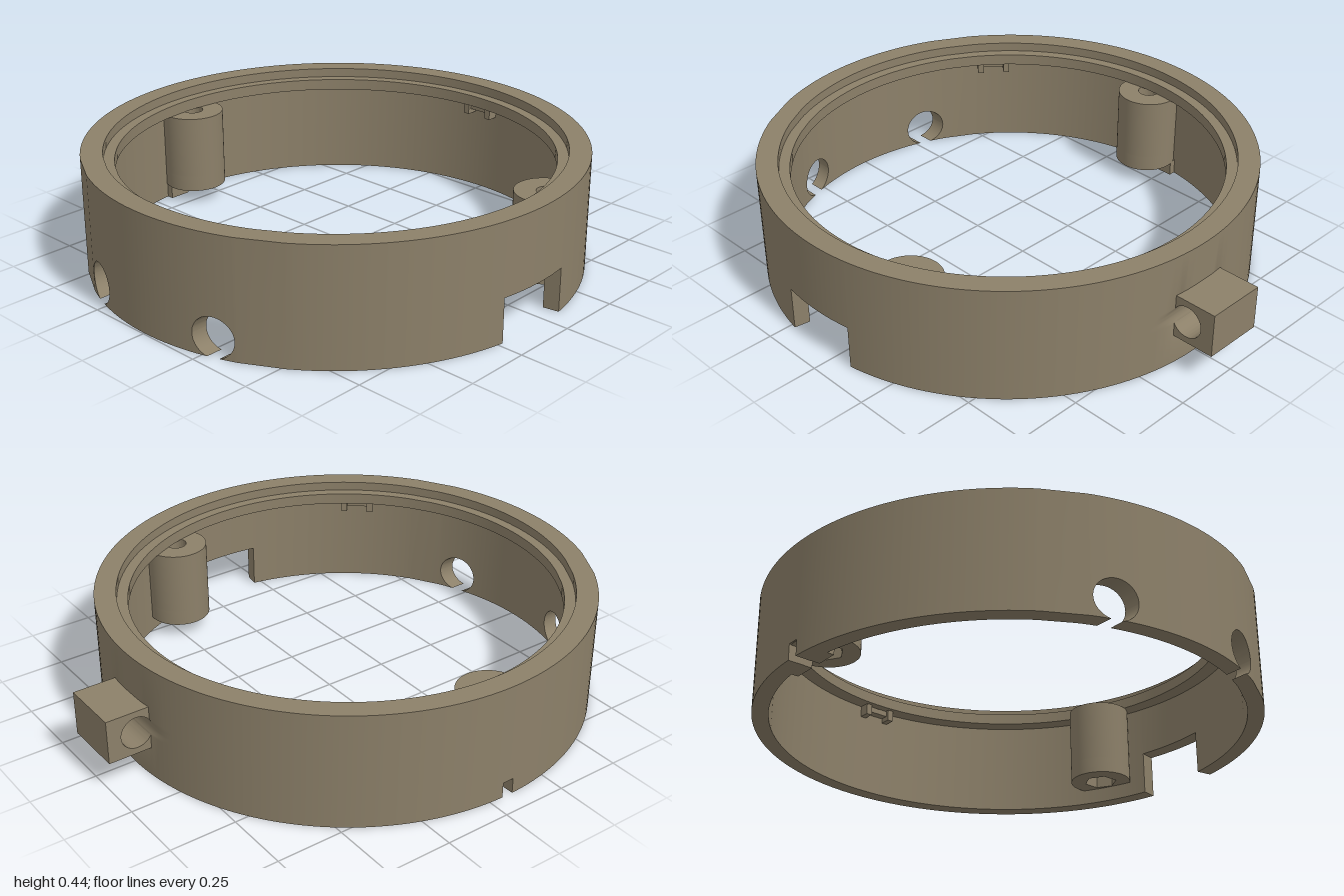
import * as THREE from 'three';
import { toCreasedNormals } from 'three/addons/utils/BufferGeometryUtils.js';

const R = 0.92, WALL = 0.86, LEDGE = 0.80, CZ = 0.075, H = 0.44;
const PORT = { x: 0.29, y: 0.072, r: 0.075 };
const EYE = { y: 0.2, z: -0.888, r: 0.06 };
const rad = THREE.MathUtils.degToRad;

const body = new THREE.MeshStandardMaterial({ color: 0x8c8069 });
body.name = 'khaki plastic';

// Point on the ring. Near the front the columns run parallel to z, so the ports are straight bores.
// Points inside the lug's bore are pushed back to its surface.
function ringPoint(t, r, y) {
  const a = Math.abs(t) < 0.46 ? Math.asin((R / r) * Math.sin(t)) : t;
  let z = r * Math.cos(a) + CZ;
  const d = EYE.r ** 2 - (y - EYE.y) ** 2;
  if (z < -0.7 && d > 0) z = Math.max(z, EYE.z + Math.sqrt(d));
  return [r * Math.sin(a), y, z];
}

// Sweep a closed (radius, y) profile along columns [angle, value]
function sweep(cols, profile, capped) {
  const loops = cols.map(([t, v]) => profile(v).map(([r, y]) => ringPoint(t, r, y)));
  const pos = [], n = loops[0].length;
  const tri = (a, b, c) => {
    const [A, B, C] = [a, b, c].map(p => new THREE.Vector3(...p));
    if (B.sub(A).cross(C.sub(A)).length() > 1e-9) pos.push(...a, ...b, ...c);
  };
  for (let i = 0; i < loops.length - 1; i++) {
    for (let j = 0; j < n; j++) {
      const k = (j + 1) % n, p = loops[i], q = loops[i + 1];
      tri(p[j], q[j], q[k]);
      tri(p[j], q[k], p[k]);
    }
  }
  if (capped) {
    const s = loops[0], e = loops[loops.length - 1];
    for (let j = 1; j < n - 1; j++) {
      tri(s[0], s[j], s[j + 1]);
      tri(e[0], e[j + 1], e[j]);
    }
  }
  const g = new THREE.BufferGeometry();
  g.setAttribute('position', new THREE.Float32BufferAttribute(pos, 3));
  return toCreasedNormals(g, 0.5);
}

function add(parent, name, geometry) {
  const m = new THREE.Mesh(geometry, body);
  m.name = name;
  parent.add(m);
  return m;
}

const portAngle = x => Math.asin(x / R);
const portHalf = x => Math.sqrt(Math.max(0, PORT.r ** 2 - x * x));

// Columns of the ring, each with the height of its lower edge
function ringColumns() {
  const cutouts = [];
  for (const s of [-1, 1]) {
    const c = [];
    for (let i = 0; i <= 24; i++) {
      const dx = -PORT.r * Math.cos((Math.PI * i) / 24);
      c.push([portAngle(s * PORT.x + dx), PORT.y + portHalf(dx)]);
    }
    cutouts.push(c);
  }
  const slot = (centre, half, h) => {
    const c = [], a = Math.asin(half / R);
    for (let i = 0; i <= 8; i++) c.push([centre + a * (i / 4 - 1), h]);
    cutouts.push(c);
  };
  slot(Math.PI / 2, 0.155, 0.166);
  slot(-Math.PI / 2, 0.022, 0.06);

  const cols = [];
  for (let d = -180; d <= 180; d += 2) {
    const t = rad(d), a = Math.abs(t);
    if (a > 0.45 && a < 0.56) continue;
    if (!cutouts.some(c => t > c[0][0] - 0.005 && t < c[c.length - 1][0] + 0.005)) cols.push([t, 0]);
  }
  for (const c of cutouts) cols.push([c[0][0], 0], ...c, [c[c.length - 1][0], 0]);
  return cols.sort((a, b) => a[0] - b[0]);
}

function ringProfile(b) {
  const p = [[R, b]];
  for (let i = 0; i < 10; i++) p.push([R, 0.168 + i * 0.008]);
  p.push([R, H], [0.84, H], [0.84, 0.405], [LEDGE, 0.405], [LEDGE, 0.362], [WALL, 0.362], [WALL, b]);
  return p;
}

// Upright plate with a hole
function bored(shape, hole, y0, y1) {
  shape.holes.push(hole);
  const g = new THREE.ExtrudeGeometry(shape, { depth: y1 - y0, bevelEnabled: false, curveSegments: 32 });
  return toCreasedNormals(g.rotateX(-Math.PI / 2).translate(0, y0, 0), 0.5);
}
const circle = (C, r, x = 0, y = 0) => new C().absarc(x, y, r, 0, Math.PI * 2, false);

// Screw post with a nut pocket in its lower end
function screwPost(x, z) {
  const g = new THREE.Group();
  const hex = new THREE.Path();
  for (let i = 0; i <= 6; i++) {
    const a = (i * Math.PI) / 3;
    hex[i ? 'lineTo' : 'moveTo'](0.064 * Math.cos(a), 0.064 * Math.sin(a));
  }
  add(g, 'nutPocket', bored(circle(THREE.Shape, 0.119), hex, 0.058, 0.12));
  add(g, 'postBarrel', bored(circle(THREE.Shape, 0.119), circle(THREE.Path, 0.04), 0.12, 0.362));
  g.position.set(x, 0, z);
  return g;
}

export function createModel() {
  const model = new THREE.Group();
  model.name = 'ringHousing';
  add(model, 'ring', sweep(ringColumns(), ringProfile, false));

  // Slivers of wall under the round ports, either side of the bottom gap
  const gap = Math.sqrt(PORT.r ** 2 - PORT.y ** 2);
  for (const s of [-1, 1]) {
    for (const e of [-1, 1]) {
      const cols = [];
      for (let i = 0; i <= 10; i++) {
        const a = (i / 10) * Math.acos(gap / PORT.r);
        const dx = e * PORT.r * Math.cos(a);
        cols.push([portAngle(s * PORT.x + dx), Math.max(0, PORT.y - portHalf(dx))]);
      }
      cols.sort((a, b) => a[0] - b[0]);
      add(model, 'portLip', sweep(cols, t => [[R, 0], [R, t], [WALL, t], [WALL, 0]], true));
    }
  }

  // Hinge lug at the back, bored from side to side
  const lugShape = new THREE.Shape();
  lugShape.moveTo(0.80, 0.117).lineTo(1, 0.117).lineTo(1, 0.284).lineTo(0.80, 0.284).closePath();
  lugShape.holes.push(circle(THREE.Path, EYE.r, -EYE.z, EYE.y));
  const lug = new THREE.ExtrudeGeometry(lugShape, { depth: 0.23, bevelEnabled: false, curveSegments: 32 });
  add(model, 'hingeLug', toCreasedNormals(lug.translate(0, 0, -0.115).rotateY(Math.PI / 2), 0.5));

  // Screw posts
  const posts = [['rightPost', -0.797, 0.08], ['leftPost', 0.74, -0.213]];
  for (const [name, x, z] of posts) {
    const post = screwPost(x, z);
    post.name = name;
    model.add(post);
  }

  // Feet beside the cable slit
  for (const s of [-1, 1]) {
    add(model, 'slitFoot', new THREE.BoxGeometry(0.05, 0.06, 0.085)).position.set(-0.852, 0.03, CZ + s * 0.065);
  }

  // Small catches under the ledge
  for (const deg of [50, 180, -40]) {
    const clip = new THREE.Group();
    clip.name = 'catch';
    add(clip, 'catchBar', new THREE.BoxGeometry(0.13, 0.022, 0.035)).position.set(0, 0.348, 0.845);
    for (const s of [-1, 1]) {
      add(clip, 'catchTab', new THREE.BoxGeometry(0.024, 0.045, 0.05)).position.set(s * 0.053, 0.34, 0.84);
    }
    clip.position.z = CZ;
    clip.rotation.y = rad(deg);
    model.add(clip);
  }
  return model;
}
